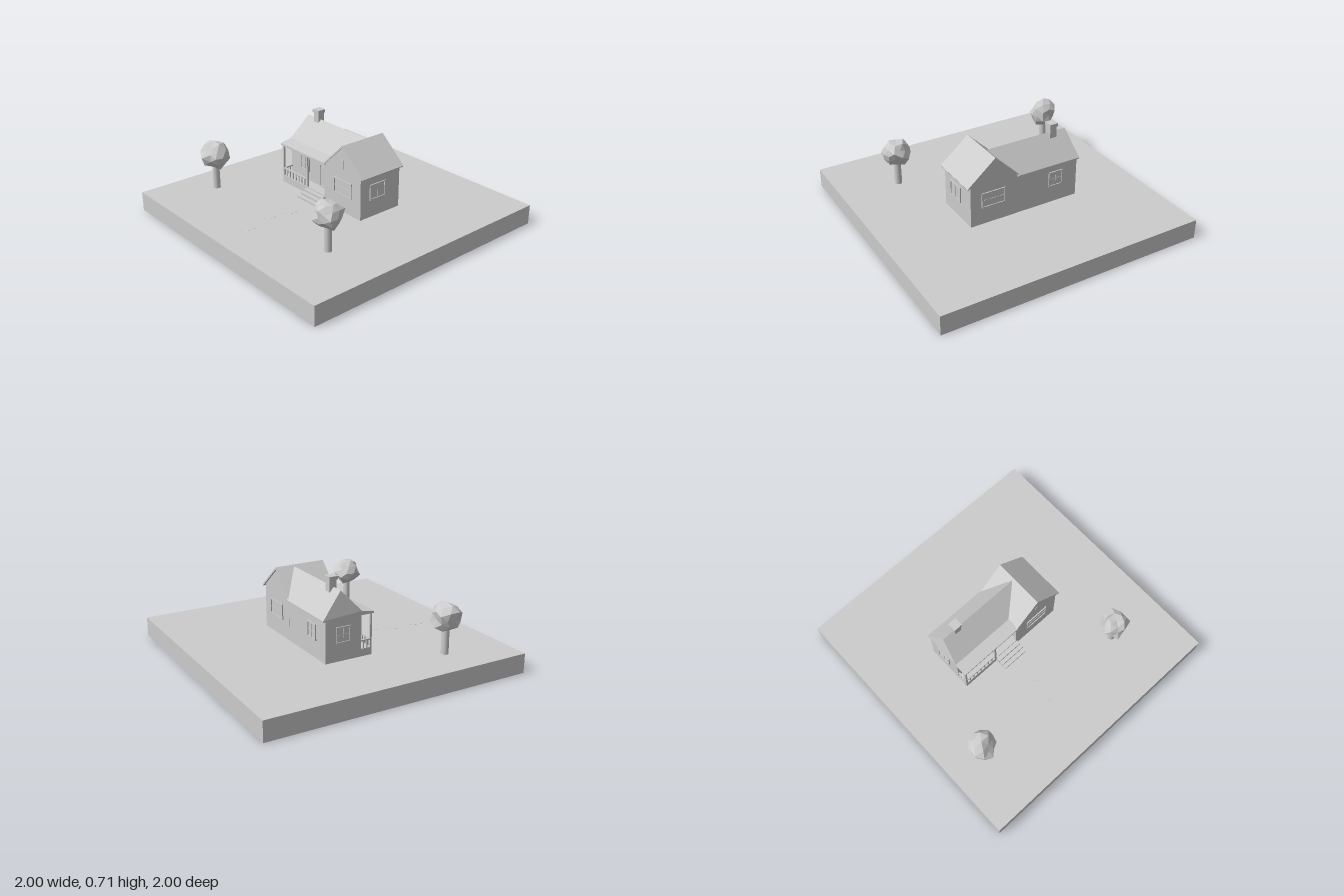
import * as THREE from 'three';

const mat = new THREE.MeshStandardMaterial({ color: 0xcccccc, flatShading: true });
const smooth = new THREE.MeshStandardMaterial({ color: 0xcccccc });
const GROUND = 0.145, FLOOR = 0.2;

function add(parent, name, geometry, material = mat) {
  const mesh = new THREE.Mesh(geometry, material);
  mesh.name = name;
  parent.add(mesh);
  return mesh;
}

// Box given by its lower and upper limits on each axis
function box(parent, name, x0, x1, y0, y1, z0, z1) {
  const mesh = add(parent, name, new THREE.BoxGeometry(x1 - x0, y1 - y0, z1 - z0));
  mesh.position.set((x0 + x1) / 2, (y0 + y1) / 2, (z0 + z1) / 2);
  return mesh;
}

// Outline in x and y, extruded from z0 to z1
function extrude(points, z0, z1, hole) {
  const shape = new THREE.Shape(points.map(p => new THREE.Vector2(...p)));
  if (hole) shape.holes.push(new THREE.Path(hole.map(p => new THREE.Vector2(...p))));
  return new THREE.ExtrudeGeometry(shape, { depth: z1 - z0, bevelEnabled: false }).translate(0, 0, z0);
}

const rect = (w, h) => [[-w / 2, -h / 2], [w / 2, -h / 2], [w / 2, h / 2], [-w / 2, h / 2]];

// Framed opening with its back on z = 0, facing +z
function framed(parent, name, w, h, x, y, z, turn, bars) {
  const g = new THREE.Group();
  g.name = name;
  const t = 0.01;
  add(g, 'frame', extrude(rect(w, h), -0.003, 0.008, rect(w - 2 * t, h - 2 * t)));
  box(g, 'pane', -w / 2 + t, w / 2 - t, -h / 2 + t, h / 2 - t, -0.003, 0.002);
  if (bars.includes('v')) box(g, 'mullion', -0.003, 0.003, -h / 2 + t, h / 2 - t, 0, 0.005);
  if (bars.includes('h')) box(g, 'crossBar', -w / 2 + t, w / 2 - t, -0.003, 0.003, 0, 0.005);
  g.position.set(x, y, z);
  g.rotation.y = turn;
  parent.add(g);
}

// Main roof: a cross-section with its own x at each end of every line
function mainRoofGeometry() {
  // z, y, left x, right x
  const section = [
    [0, 0.475, -0.485, 0.01], [0.095, 0.458, -0.485, 0.02], [0.095, 0.445, -0.485, 0.02],
    [-0.3, 0.445, -0.485, 0.02], [-0.3, 0.455, -0.485, 0.02], [-0.15, 0.635, -0.455, 0.185]
  ];
  const n = section.length, pos = [], index = [];
  for (const end of [2, 3]) for (const p of section) pos.push(p[end], p[1], p[0]);
  for (let i = 0; i < n; i++) {
    const j = (i + 1) % n;
    index.push(i, j, n + j, i, n + j, n + i);
    if (i > 0 && i < n - 1) index.push(0, i + 1, i, n, n + i, n + i + 1);
  }
  const geo = new THREE.BufferGeometry();
  geo.setAttribute('position', new THREE.Float32BufferAttribute(pos, 3));
  geo.setIndex(index);
  const flat = geo.toNonIndexed();
  flat.computeVertexNormals();
  return flat;
}

// Jagged crown: each corner of an icosphere is pushed in or out
function crownGeometry(seed) {
  const geo = new THREE.IcosahedronGeometry(0.1, 1);
  const p = geo.attributes.position, v = new THREE.Vector3();
  for (let i = 0; i < p.count; i++) {
    v.fromBufferAttribute(p, i);
    const key = Math.round(v.x * 1000) * 12.9898 + Math.round(v.y * 1000) * 78.233 + Math.round(v.z * 1000) * 37.719;
    const s = Math.sin(key + seed) * 43758.5453;
    v.multiplyScalar(0.8 + 0.38 * (s - Math.floor(s)));
    p.setXYZ(i, v.x, v.y, v.z);
  }
  geo.computeVertexNormals();
  return geo;
}

function tree(parent, name, x, z, seed) {
  const g = new THREE.Group();
  g.name = name;
  add(g, 'trunk', new THREE.CylinderGeometry(0.026, 0.027, 0.2, 16), smooth).position.y = 0.1;
  add(g, 'crown', crownGeometry(seed)).position.y = 0.262;
  g.position.set(x, GROUND, z);
  parent.add(g);
}

export function createModel() {
  const model = new THREE.Group();
  model.name = 'cottage';
  box(model, 'ground', -1, 1, 0, GROUND, -1, 1);

  // Walls
  const house = new THREE.Group();
  house.name = 'house';
  model.add(house);
  box(house, 'mainWalls', -0.478, 0.05, GROUND, 0.45, -0.28, 0);
  add(house, 'wingWalls', extrude(
    [[0.02, GROUND], [0.388, GROUND], [0.388, 0.47], [0.2, 0.635], [0.02, 0.465]], -0.281, 0.085));

  // Roofs
  add(house, 'mainRoof', mainRoofGeometry());
  add(house, 'wingRoof', extrude(
    [[0, 0.452], [0.006, 0.446], [0.2, 0.63], [0.41, 0.452], [0.416, 0.462], [0.2, 0.645]], -0.293, 0.092));

  // Chimney
  box(house, 'chimney', -0.365, -0.312, 0.6, 0.685, -0.181, -0.127);
  box(house, 'chimneyCap', -0.371, -0.306, 0.683, 0.708, -0.187, -0.121);

  // Gable vent
  box(house, 'gableVent', 0.186, 0.214, 0.47, 0.54, 0.08, 0.0865);

  // Windows and door
  framed(house, 'porchWindow', 0.105, 0.12, -0.315, 0.33, 0, 0, 'vh');
  framed(house, 'wingFrontWindow', 0.185, 0.118, 0.205, 0.332, 0.085, 0, 'h');
  framed(house, 'wingSideWindow', 0.145, 0.118, -0 + 0.388, 0.332, -0.072, Math.PI / 2, 'v');
  framed(house, 'wingBackWindow', 0.185, 0.118, 0.21, 0.332, -0.281, Math.PI, 'h');
  framed(house, 'mainBackWindow', 0.115, 0.118, -0.3, 0.332, -0.28, Math.PI, 'vh');
  framed(house, 'mainSideWindow', 0.115, 0.118, -0.478, 0.332, -0.142, -Math.PI / 2, 'vh');
  framed(house, 'door', 0.1, 0.18, -0.092, FLOOR + 0.09, 0, 0, '');
  add(house, 'doorKnob', new THREE.SphereGeometry(0.004, 10, 8), smooth).position.set(-0.06, 0.285, 0.006);

  // Porch with posts and beam
  const porch = new THREE.Group();
  porch.name = 'porch';
  house.add(porch);
  box(porch, 'porchFloor', -0.478, 0.03, GROUND, FLOOR, -0.01, 0.085);
  box(porch, 'porchBeam', -0.478, 0.02, 0.435, 0.447, 0.07, 0.085);
  for (const x of [-0.471, -0.194, 0.013]) {
    box(porch, 'porchPost', x - 0.007, x + 0.007, FLOOR, 0.446, 0.071, 0.085);
  }

  // Railing along the front and the open side
  box(porch, 'frontRail', -0.47, -0.195, 0.252, 0.262, 0.072, 0.084);
  box(porch, 'sideRail', -0.477, -0.465, 0.252, 0.262, 0, 0.08);
  for (let i = 1; i <= 7; i++) {
    const x = -0.471 + i * 0.0346;
    box(porch, 'frontBaluster', x - 0.005, x + 0.005, FLOOR, 0.253, 0.074, 0.082);
  }
  for (let i = 0; i < 2; i++) {
    const z = 0.022 + i * 0.027;
    box(porch, 'sideBaluster', -0.475, -0.467, FLOOR, 0.253, z - 0.005, z + 0.005);
  }

  // Steps
  for (let i = 0; i < 3; i++) {
    box(porch, 'step', -0.187, 0.016, GROUND, 0.192 - i * 0.016, 0.08, 0.118 + i * 0.031);
  }

  // Stepping stones, almost flush with the ground
  for (const [x, z, r] of [[-0.08, 0.71, 0.09], [-0.1, 0.51, 0.06], [-0.05, 0.36, 0.05]]) {
    add(model, 'steppingStone', new THREE.CylinderGeometry(r, r, 0.004, 24), smooth)
      .position.set(x, GROUND - 0.001, z);
  }

  // Trees
  tree(model, 'rightTree', -0.72, 0.525, 1.3);
  tree(model, 'leftTree', 0.56, 0.522, 4.7);
  return model;
}
